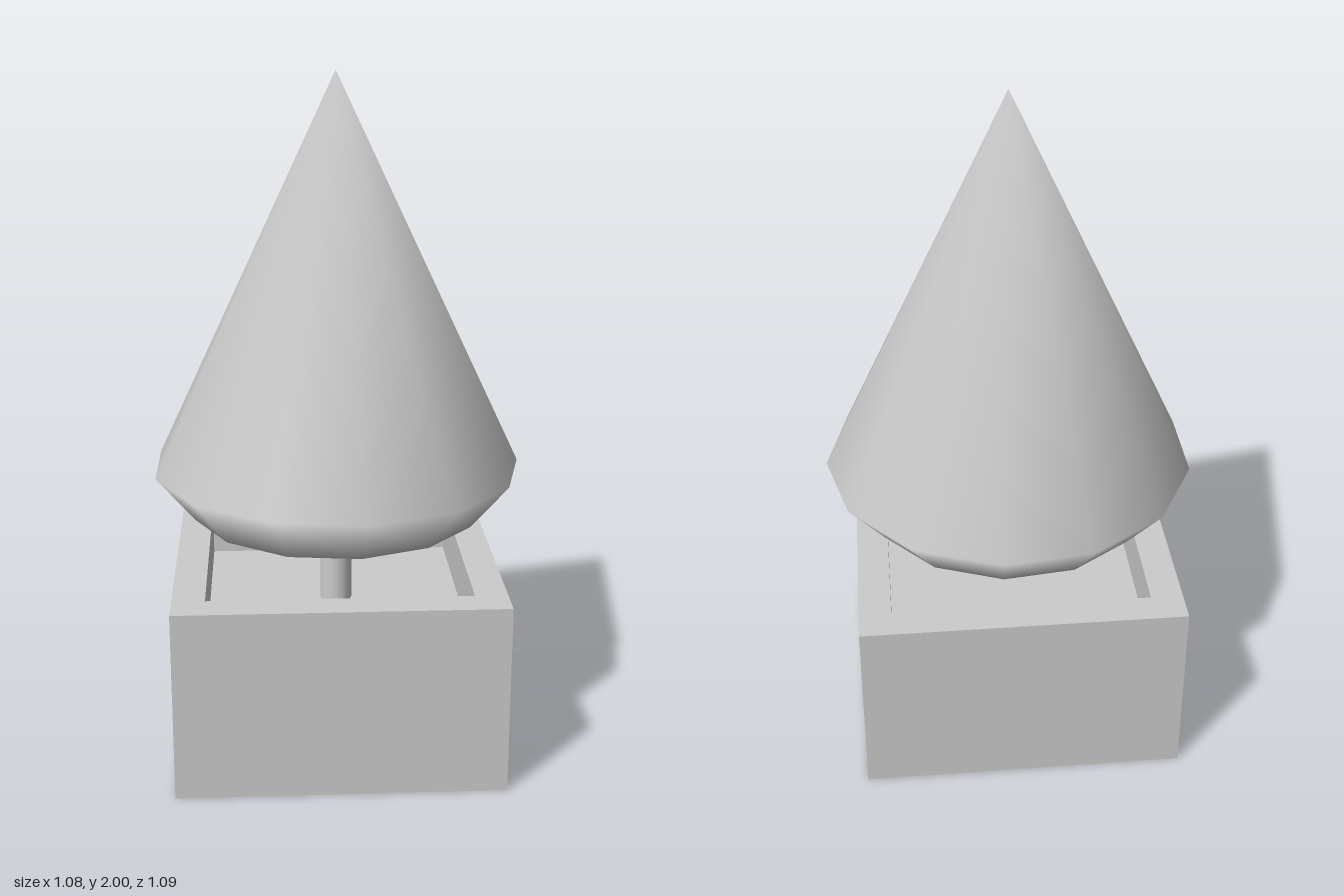
import * as THREE from 'three';
import { mergeVertices } from 'three/addons/utils/BufferGeometryUtils.js';

const CX = -0.01; // shared axis of tree and planter

export function createModel() {
  const group = new THREE.Group();
  const material = new THREE.MeshStandardMaterial({ color: 0xcccccc });

  const add = (name, geometry, x, y, z) => {
    const mesh = new THREE.Mesh(geometry, material);
    mesh.name = name;
    mesh.position.set(x, y, z);
    group.add(mesh);
    return mesh;
  };

  // Planter: solid base whose top is the soil, with a square rim wall above it
  const size = 0.953, half = size / 2, wall = 0.095;
  const soilY = 0.41, rimY = 0.567;
  add('planterBase', new THREE.BoxGeometry(size, soilY, size), CX - 0.005, soilY / 2, 0);

  const square = (h, PathType) => new PathType([
    new THREE.Vector2(-h, -h), new THREE.Vector2(h, -h),
    new THREE.Vector2(h, h), new THREE.Vector2(-h, h),
  ]);
  const rim = square(half, THREE.Shape);
  rim.holes.push(square(half - wall, THREE.Path));
  const rimGeometry = new THREE.ExtrudeGeometry(rim, { depth: rimY - soilY, bevelEnabled: false });
  rimGeometry.rotateX(-Math.PI / 2);
  add('planterRim', rimGeometry, CX - 0.005, soilY, 0);

  // Trunk: from the soil into the foliage
  const trunkTop = 0.68;
  add('trunk', new THREE.CylinderGeometry(0.048, 0.048, trunkTop - soilY, 16), CX, (soilY + trunkTop) / 2, 0);

  // Foliage: 13-sided cone with a rounded underside, smooth all over
  const profile = [[0, 0.63], [0.222, 0.63], [0.432, 0.705], [0.548, 0.845], [0, 2]]
    .map(([r, y]) => new THREE.Vector2(r, y));
  let foliage = new THREE.LatheGeometry(profile, 13, Math.PI / 2);
  foliage.deleteAttribute('normal');
  foliage.deleteAttribute('uv');
  foliage = mergeVertices(foliage, 1e-4);
  foliage.computeVertexNormals();
  add('foliage', foliage, CX, 0, 0);

  return group;
}
